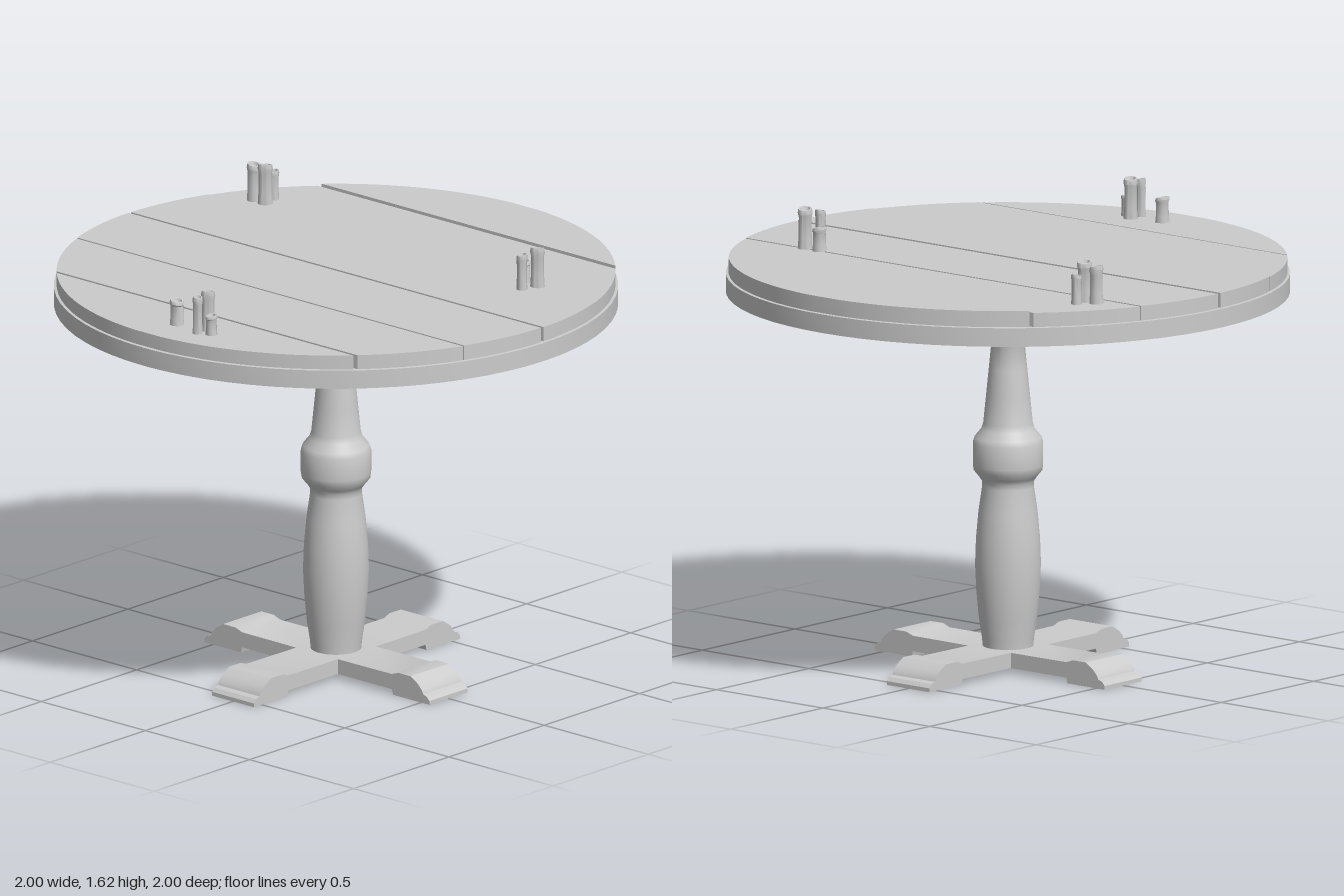
import * as THREE from 'three';
import { toCreasedNormals } from 'three/addons/utils/BufferGeometryUtils.js';

const grey = new THREE.MeshStandardMaterial({ color: 0xcccccc });

function add(parent, name, geometry, crease = 0.6) {
  const mesh = new THREE.Mesh(toCreasedNormals(geometry, crease), grey);
  mesh.name = name;
  parent.add(mesh);
  return mesh;
}

const lathe = (points, segments) =>
  new THREE.LatheGeometry(points.map(([r, y]) => new THREE.Vector2(r, y)), segments);

// Slice of a disc between two z values, with arcs at both ends
function plankGeometry(radius, z0, z1, thickness) {
  const a0 = Math.asin(z0 / radius), a1 = Math.asin(z1 / radius), steps = 14;
  const right = [], left = [];
  for (let i = 0; i <= steps; i++) {
    const a = a0 + (a1 - a0) * i / steps;
    right.push(new THREE.Vector2(radius * Math.cos(a), radius * Math.sin(a)));
    left.unshift(new THREE.Vector2(-radius * Math.cos(a), radius * Math.sin(a)));
  }
  const shape = new THREE.Shape([...right, ...left]);
  return new THREE.ExtrudeGeometry(shape, { depth: thickness, bevelEnabled: false }).rotateX(Math.PI / 2);
}

// Candle stub: slightly flared foot, rim and hollow top, tilted melt line
function candleGeometry(r, h) {
  const g = lathe([[0, 0], [r, 0], [r * 0.88, h * 0.3], [r * 0.85, h * 0.75], [r, h * 0.9],
    [r * 0.9, h], [r * 0.7, h], [r * 0.55, h - 0.012], [0, h - 0.012]], 10);
  const p = g.attributes.position;
  for (let i = 0; i < p.count; i++) {
    if (p.getY(i) > h * 0.85) p.setY(i, p.getY(i) - 0.2 * (r + p.getX(i)));
  }
  return g;
}

export function createModel() {
  const table = new THREE.Group();
  table.name = 'pedestalTable';

  // Round rim with a recessed underside and a core below the planks
  add(table, 'tableRim', lathe([[0, 1.37], [0.96, 1.37], [0.965, 1.355], [1, 1.355],
    [1, 1.422], [0.975, 1.424], [0.972, 1.452], [0, 1.452]], 72));

  // Six planks: wide gaps at three joints, tight ones between
  const planks = new THREE.Group();
  planks.name = 'planks';
  table.add(planks);
  const joints = [[-0.988, 0], [-0.69, 0.005], [-0.35, 0.002], [0, 0.007], [0.345, 0.002], [0.682, 0.005], [0.988, 0]];
  const tops = [1.482, 1.475, 1.477, 1.478, 1.476, 1.475];
  tops.forEach((top, i) => {
    const [za, ga] = joints[i], [zb, gb] = joints[i + 1];
    add(planks, 'plank', plankGeometry(0.99, za + ga, zb - gb, top - 1.424)).position.y = top;
  });

  // Turned column with bulb, collar, neck and cap
  add(table, 'column', lathe([[0, 0.07], [0.09, 0.07], [0.092, 0.1], [0.104, 0.18], [0.113, 0.28], [0.117, 0.37],
    [0.114, 0.46], [0.105, 0.56], [0.092, 0.65], [0.092, 0.67], [0.102, 0.685], [0.122, 0.71], [0.125, 0.73],
    [0.125, 0.81], [0.118, 0.83], [0.095, 0.858], [0.088, 0.88], [0.079, 0.97], [0.068, 1.08], [0.057, 1.19],
    [0.064, 1.203], [0.09, 1.213], [0.135, 1.232], [0.152, 1.247], [0.158, 1.265], [0.158, 1.37]], 40), 0.7);

  // Cross base: centre block and four arms ending in shaped feet
  const base = new THREE.Group();
  base.name = 'crossBase';
  table.add(base);
  add(base, 'baseCentre', new THREE.BoxGeometry(0.2, 0.055, 0.2)).position.y = 0.0475;
  const profile = [[0.1, 0.02], [0.36, 0.02], [0.365, 0], [0.54, 0], [0.54, 0.014], [0.528, 0.027], [0.51, 0.033],
    [0.505, 0.045], [0.485, 0.066], [0.45, 0.087], [0.39, 0.087], [0.36, 0.076], [0.1, 0.075]];
  const armShape = new THREE.Shape(profile.map(([x, y]) => new THREE.Vector2(x, y)));
  for (let i = 0; i < 4; i++) {
    const g = new THREE.ExtrudeGeometry(armShape, { depth: 0.2, bevelEnabled: false }).translate(0, 0, -0.1);
    add(base, 'foot', g, 0.4).rotation.y = i * Math.PI / 2;
  }

  // Three clusters of candle stubs: x, z, radius, top height
  const candles = new THREE.Group();
  candles.name = 'candles';
  table.add(candles);
  [[-0.77, -0.41, 0.026, 1.615], [-0.715, -0.41, 0.028, 1.625], [-0.725, -0.465, 0.02, 1.585],
    [0.585, -0.345, 0.027, 1.565], [0.652, -0.345, 0.027, 1.625], [0.635, -0.282, 0.02, 1.61],
    [0.005, 0.84, 0.027, 1.57], [0.132, 0.815, 0.026, 1.625], [0.175, 0.845, 0.022, 1.55], [0.13, 0.868, 0.019, 1.615],
  ].forEach(([x, z, r, top], i) => {
    const candle = add(candles, 'candle', candleGeometry(r, top - 1.47), 0.7);
    candle.position.set(x, 1.47, z);
    candle.rotation.y = i * 2.1;
  });

  return table;
}
